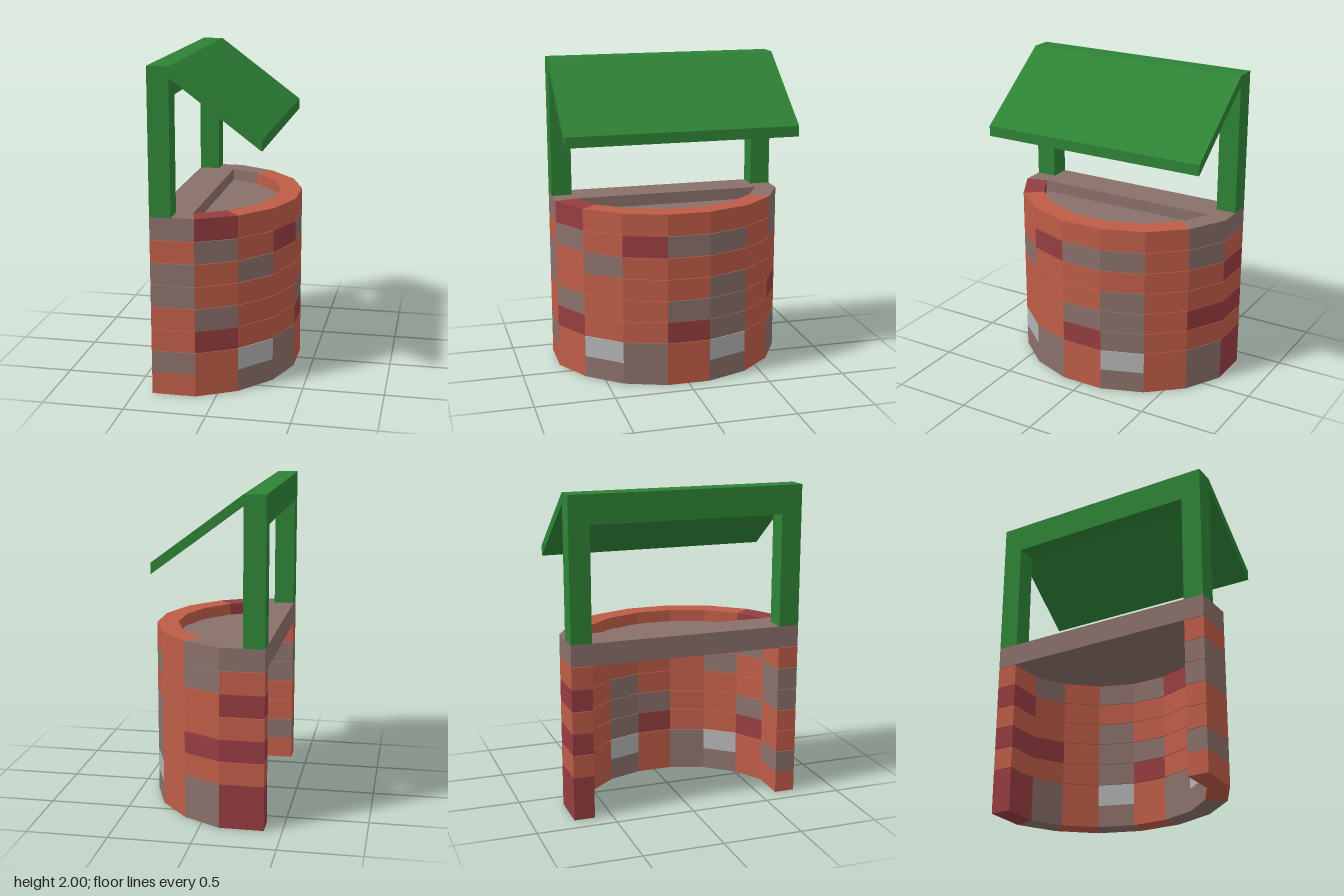
import * as THREE from 'three';

const mat = (color) => new THREE.MeshStandardMaterial({ color, flatShading: true });

// Upright prism from a plan outline of [x, z] points
function slab(points, y0, y1, material, name) {
  const shape = new THREE.Shape(points.map(([x, z]) => new THREE.Vector2(x, -z)));
  const geo = new THREE.ExtrudeGeometry(shape, { depth: y1 - y0, bevelEnabled: false });
  geo.rotateX(-Math.PI / 2).translate(0, y0, 0);
  const mesh = new THREE.Mesh(geo, material);
  mesh.name = name;
  return mesh;
}

function box(x0, x1, y0, y1, z0, z1, material, name) {
  const geo = new THREE.BoxGeometry(x1 - x0, y1 - y0, z1 - z0);
  geo.translate((x0 + x1) / 2, (y0 + y1) / 2, (z0 + z1) / 2);
  const mesh = new THREE.Mesh(geo, material);
  mesh.name = name;
  return mesh;
}

export function createModel() {
  const model = new THREE.Group();
  model.name = 'halfWell';
  const green = mat(0x2f8336);
  const bricks = { O: mat(0xbe5c47), G: mat(0x8a706a), D: mat(0x963d40), L: mat(0xb2b2b2) };

  // Half-ring plan, from the +z end round to the -z end
  const mirrored = (pts) => [...pts, ...pts.map(([x, z]) => [x, -z]).reverse()];
  const outer = mirrored([[-0.39, 0.74], [-0.12, 0.74], [0.115, 0.61], [0.295, 0.4], [0.39, 0.137]]);
  const inner = mirrored([[-0.39, 0.61], [-0.155, 0.61], [0.03, 0.505], [0.18, 0.33], [0.257, 0.113]]);

  // Brick wall: one string per column, bottom row first
  const columns = [
    'OGOOGGO', 'OODGOOGD', 'GLOOOGOO', 'GGOOOODO', 'OODGOOGO',
    'GLGGGOGO', 'OOOOOOOO', 'GGODOOGG', 'DDODODO',
  ];
  const rowHeight = 1.113 / 8;
  const wall = new THREE.Group();
  wall.name = 'brickWall';
  columns.forEach((column, i) => {
    const plan = [outer[i], outer[i + 1], inner[i + 1], inner[i]];
    [...column].forEach((kind, row) => {
      const y = row * rowHeight;
      // Thin joint above every second course
      const gap = row % 2 || row > 1 ? 0.003 : 0;
      wall.add(slab(plan, y, y + rowHeight - (row < 7 ? gap : 0), bricks[kind], 'brick'));
    });
  });
  model.add(wall);

  // Cross plank tying the two wall ends, and the cover inside the ring
  const top = 8 * rowHeight, under = 7 * rowHeight;
  const plank = [[-0.39, 0.74], [-0.12, 0.74], [-0.155, 0.61], [-0.155, -0.61], [-0.12, -0.74], [-0.39, -0.74]];
  model.add(slab(plank, under, top, bricks.G, 'crossPlank'));
  model.add(slab(inner.slice(1, -1), under, top - 0.075, bricks.G, 'innerCover'));

  // Posts and ridge beam
  for (const s of [1, -1]) {
    const z = [0.61 * s, 0.74 * s].sort((a, b) => a - b);
    model.add(box(-0.39, -0.26, top, 2, z[0], z[1], green, s > 0 ? 'frontPost' : 'backPost'));
  }
  model.add(box(-0.39, -0.26, 1.82, 2, -0.61, 0.61, green, 'ridgeBeam'));

  // Sloping roof board
  const section = new THREE.Shape([[-0.26, 2], [-0.26, 1.935], [0.28, 1.53], [0.28, 1.597]]
    .map(([x, y]) => new THREE.Vector2(x, y)));
  const roofGeo = new THREE.ExtrudeGeometry(section, { depth: 1.48, bevelEnabled: false });
  roofGeo.translate(0, 0, -0.74);
  const roof = new THREE.Mesh(roofGeo, green);
  roof.name = 'roofBoard';
  model.add(roof);

  return model;
}
